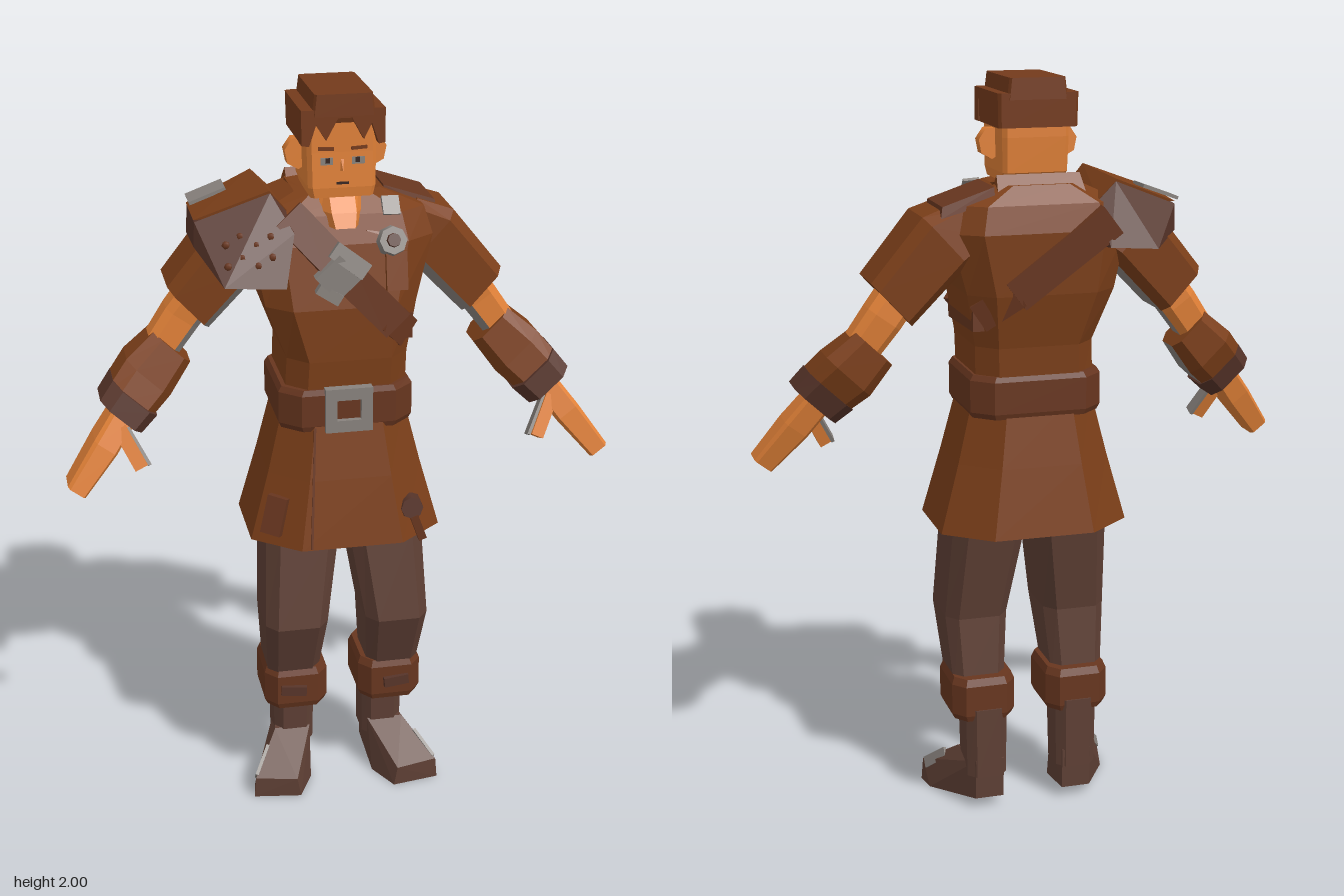
import * as THREE from 'three';
import { ConvexGeometry } from 'three/addons/geometries/ConvexGeometry.js';

const V = (x, y, z) => new THREE.Vector3(x, y, z);

export function createModel() {
  const root = new THREE.Group();
  const mat = (name, color) => {
    const m = new THREE.MeshStandardMaterial({ color });
    m.name = name;
    return m;
  };
  const skin = mat('skin', 0xe08037), cloth = mat('tunic cloth', 0x7c3f19), hair = mat('hair', 0x743a1b);
  const leather = mat('leather', 0x68361f), dark = mat('dark leather', 0x573429), trouser = mat('trouser cloth', 0x5f4035);
  const metal = mat('grey metal', 0x88827d), ink = mat('ink', 0x35241f);

  const add = (name, geo, material) => {
    const m = new THREE.Mesh(geo, material);
    m.name = name;
    root.add(m);
    return m;
  };

  // Faceted loft of chamfered rectangles; station = [x, y, z, halfU, halfV], greySides = quads given the second material
  function loft(stations, axis = V(0, 1, 0), u = V(1, 0, 0), k = 0.6, greySides = []) {
    const a = axis.clone().normalize(), v = a.clone().cross(u).normalize();
    const rings = stations.map(([x, y, z, w, d]) =>
      [[1, -k], [1, k], [k, 1], [-k, 1], [-1, k], [-1, -k], [-k, -1], [k, -1]].map(([p, q]) =>
        V(x, y, z).addScaledVector(u, p * w).addScaledVector(v, q * d)));
    const pts = [], geo = new THREE.BufferGeometry();
    const tri = (...t) => t.forEach(p => pts.push(p.x, p.y, p.z));
    for (let i = 0; i < 8; i++) {
      const j = (i + 1) % 8, start = pts.length / 3;
      for (let r = 0; r + 1 < rings.length; r++) {
        const A = rings[r], B = rings[r + 1];
        tri(A[i], A[j], B[j]);
        tri(A[i], B[j], B[i]);
      }
      geo.addGroup(start, pts.length / 3 - start, greySides.includes(i) ? 1 : 0);
    }
    const start = pts.length / 3, first = rings[0], last = rings[rings.length - 1];
    for (let i = 1; i < 7; i++) {
      tri(first[0], first[i + 1], first[i]);
      tri(last[0], last[i], last[i + 1]);
    }
    geo.addGroup(start, pts.length / 3 - start, 0);
    geo.setAttribute('position', new THREE.Float32BufferAttribute(pts, 3));
    geo.computeVertexNormals();
    return geo;
  }
  const hull = pts => new ConvexGeometry(pts.map(p => V(...p)));
  const shape = pts => new THREE.Shape(pts.map(p => new THREE.Vector2(...p)));
  const box = (name, m, x, y, z, w, h, d, rz = 0) => {
    const b = add(name, new THREE.BoxGeometry(w, h, d), m);
    b.position.set(x, y, z);
    b.rotation.z = rz;
    return b;
  };
  // Flat bar from a to b whose broad face looks along n
  function bar(name, m, a, b, width, thick, n) {
    const A = V(...a), B = V(...b), y = B.clone().sub(A), len = y.length();
    y.normalize();
    const x = y.clone().cross(V(...n)).normalize(), z = x.clone().cross(y);
    const mesh = add(name, new THREE.BoxGeometry(width, len, thick), m);
    mesh.quaternion.setFromRotationMatrix(new THREE.Matrix4().makeBasis(x, y, z));
    mesh.position.copy(A.add(B).multiplyScalar(0.5));
    return mesh;
  }

  // Tunic and belt
  add('tunicBody', loft([[0.005, 1.18, 0, 0.16, 0.15], [0.01, 1.32, 0, 0.158, 0.16], [-0.003, 1.46, -0.015, 0.197, 0.175],
    [0.005, 1.62, -0.035, 0.235, 0.165], [0.005, 1.69, -0.04, 0.215, 0.145], [0, 1.735, -0.045, 0.11, 0.1]],
  undefined, undefined, 0.68), cloth);
  add('tunicSkirt', loft([[0.005, 0.815, 0.01, 0.256, 0.21], [0.005, 1.0, 0.008, 0.205, 0.182], [0.005, 1.17, 0.005, 0.163, 0.155]],
    undefined, undefined, 0.53), cloth);
  bar('skirtOverlap', leather, [-0.105, 0.82, 0.221], [-0.085, 1.14, 0.163], 0.006, 0.008, [0, 0.2, 1]);
  add('belt', loft([[0.005, 1.13, 0.003, 0.17, 0.157], [0.005, 1.145, 0.003, 0.177, 0.162],
    [0.005, 1.23, 0.003, 0.177, 0.162], [0.005, 1.245, 0.003, 0.168, 0.157]], undefined, undefined, 0.7), leather);
  const frame = shape([[-0.062, -0.06], [0.062, -0.06], [0.062, 0.06], [-0.062, 0.06]]);
  frame.holes.push(shape([[-0.032, -0.028], [-0.032, 0.028], [0.032, 0.028], [0.032, -0.028]]));
  add('beltBuckle', new THREE.ExtrudeGeometry(frame, { depth: 0.035, bevelEnabled: false }), metal).position.set(0.003, 1.19, 0.145);
  // Hem ornaments
  const disc = (name, m, x, y, z, r, h, tilt) => {
    const d = add(name, new THREE.CylinderGeometry(r * 0.85, r, h, 8), m);
    d.position.set(x, y, z);
    d.rotation.x = Math.PI / 2 - tilt;
  };
  disc('hemDisc', dark, 0.17, 0.9, 0.178, 0.035, 0.04, 0.15);
  bar('hemTassel', leather, [0.175, 0.88, 0.192], [0.2, 0.81, 0.192], 0.022, 0.02, [0, 0, 1]);
  bar('hemPouch', leather, [-0.18, 0.95, 0.155], [-0.205, 0.85, 0.168], 0.055, 0.025, [-0.6, 0.2, 1]);

  // Strap running round the chest, with clasp and badge
  bar('strapFrontTop', leather, [-0.14, 1.7, 0.105], [-0.02, 1.57, 0.152], 0.085, 0.03, [0, 0.3, 1]);
  bar('strapFront', leather, [-0.03, 1.58, 0.15], [0.13, 1.41, 0.162], 0.085, 0.03, [0, 0.1, 1]);
  bar('strapFrontEnd', leather, [0.105, 1.435, 0.155], [0.16, 1.375, 0.12], 0.08, 0.035, [0.5, 0, 1]);
  bar('strapSide', leather, [0.166, 1.39, 0.12], [0.166, 1.4, -0.14], 0.07, 0.03, [1, 0, 0]);
  bar('strapBackEnd', leather, [0.165, 1.4, -0.14], [0.07, 1.47, -0.182], 0.075, 0.03, [0.3, 0, -1]);
  bar('strapBack', leather, [0.08, 1.46, -0.181], [-0.17, 1.65, -0.203], 0.085, 0.035, [0, 0, -1]);
  box('claspPlate', metal, -0.025, 1.55, 0.168, 0.085, 0.085, 0.03, 0.75);
  bar('claspBar', metal, [-0.035, 1.62, 0.158], [0.045, 1.56, 0.175], 0.045, 0.035, [0, 0.2, 1]);
  bar('claspTip', metal, [-0.075, 1.525, 0.165], [-0.02, 1.49, 0.172], 0.03, 0.03, [0, 0, 1]);
  disc('badge', metal, 0.12, 1.625, 0.135, 0.042, 0.04, 0.35);
  disc('badgeCentre', dark, 0.12, 1.632, 0.153, 0.02, 0.02, 0.35);
  box('chestTab', cloth, 0.13, 1.55, 0.146, 0.055, 0.1, 0.02).rotation.x = -0.2;
  // Left shoulder patch and collar
  add('shoulderPatch', hull([[0.125, 1.735, 0.01], [0.26, 1.69, 0.01], [0.26, 1.69, -0.15], [0.125, 1.735, -0.15],
    [0.125, 1.7, 0.015], [0.265, 1.66, 0.015], [0.265, 1.66, -0.155], [0.125, 1.7, -0.155]]), leather);
  add('collarBack', hull([[-0.12, 1.68, -0.18], [0.12, 1.68, -0.18], [-0.11, 1.76, -0.115], [0.11, 1.76, -0.115],
    [-0.11, 1.7, -0.05], [0.11, 1.7, -0.05]]), cloth);
  for (const s of [-1, 1]) add('collarSide', hull([[s * 0.06, 1.745, -0.1], [s * 0.115, 1.74, -0.1], [s * 0.066, 1.73, 0.06],
    [s * 0.1, 1.72, 0.07], [s * 0.058, 1.65, 0.12], [s * 0.09, 1.64, 0.125], [s * 0.12, 1.68, -0.05]]), cloth);
  bar('shoulderWornPatch', metal, [0.125, 1.725, 0.078], [0.125, 1.685, 0.108], 0.045, 0.009, [0.1, 0.6, 1]);

  // Pauldron on the right shoulder
  const top = [[-0.37, 1.68, 0.06], [-0.18, 1.75, 0.08], [-0.13, 1.69, 0.08], [-0.365, 1.67, -0.13], [-0.19, 1.74, -0.17], [-0.14, 1.69, -0.17]];
  add('pauldron', hull([...top, [-0.315, 1.545, 0.19], [-0.16, 1.535, 0.195], [-0.13, 1.66, 0.14], [-0.375, 1.62, 0.07],
    [-0.37, 1.6, -0.12], [-0.29, 1.57, -0.22], [-0.16, 1.58, -0.225]]), dark);
  add('pauldronTop', hull(top.map(([x, y, z]) => [x - 0.002, y + 0.006, z])), cloth);
  bar('pauldronPatch', metal, [-0.365, 1.688, -0.115], [-0.27, 1.723, -0.115], 0.08, 0.009, [-0.35, 1, 0]);
  for (let i = 0; i < 8; i++) {
    const x = -0.3 + (i % 4) * 0.037, y = 1.59 + Math.floor(i / 4) * 0.045 + (i % 2) * 0.018;
    add('pauldronStud', new THREE.SphereGeometry(0.011, 6, 4), leather).position.set(x, y, 0.197 - (y - 1.54) * (0.535 - (0.17 + x) * 1.9));
  }

  // Neck, head and face
  add('neck', loft([[0, 1.665, 0.05, 0.042, 0.09], [0, 1.7, 0.03, 0.053, 0.092], [0, 1.77, 0, 0.055, 0.065]]), skin);
  add('head', loft([[0, 1.735, 0.015, 0.08, 0.082], [0, 1.76, 0.002, 0.086, 0.098], [0, 1.85, -0.003, 0.088, 0.1],
    [0, 1.95, -0.003, 0.088, 0.1]], undefined, undefined, 0.88), skin);
  add('nose', hull([[-0.005, 1.84, 0.095], [0.005, 1.84, 0.095], [-0.01, 1.802, 0.093], [0.01, 1.802, 0.093], [0, 1.804, 0.107]]), skin);
  box('mouth', ink, 0, 1.772, 0.098, 0.032, 0.006, 0.008);
  for (const s of [-1, 1]) {
    box('eye', metal, s * 0.04, 1.828, 0.096, 0.032, 0.018, 0.008);
    box('pupil', ink, s * 0.038, 1.83, 0.098, 0.012, 0.013, 0.008);
    box('eyebrow', hair, s * 0.042, 1.86, 0.097, 0.04, 0.008, 0.009, s * 0.06);
    const ear = add('ear', new THREE.CylinderGeometry(0.036, 0.036, 0.036, 7), skin);
    ear.position.set(s * 0.096, 1.83, -0.005);
    ear.rotation.x = Math.PI / 2;
    ear.scale.z = 1.15;
  }
  // Hair cap, crown and jagged fringe
  add('hairCap', loft([[-0.002, 1.875, -0.015, 0.104, 0.097], [-0.002, 1.962, -0.003, 0.106, 0.112]],
    undefined, undefined, 0.93), hair);
  add('hairCrown', loft([[0, 1.945, 0.002, 0.08, 0.118], [0, 2.0, 0.002, 0.073, 0.117]], undefined, undefined, 0.93), hair);
  const fringe = shape([[-0.107, 1.962], [-0.107, 1.875], [-0.088, 1.872], [-0.07, 1.925], [-0.045, 1.885], [-0.015, 1.94],
    [0.02, 1.94], [0.05, 1.885], [0.07, 1.925], [0.088, 1.872], [0.104, 1.875], [0.104, 1.962]]);
  add('hairFringe', new THREE.ExtrudeGeometry(fringe, { depth: 0.04, bevelEnabled: false }), hair).position.z = 0.078;

  for (const s of [-1, 1]) {
    // Arm: sleeve, upper arm, bracer, hand and thumb, with worn grey undersides
    const side = s > 0 ? 'left' : 'right', under = s > 0 ? [7] : [0, 1];
    const arm = (name, mats, stations, grey = [], k = 0.6) => {
      const st = stations.map(([x, ...r]) => [x * s, ...r]), a = st[0], b = st[st.length - 1];
      const dx = b[0] - a[0], dy = b[1] - a[1], l = Math.hypot(dx, dy);
      add(side + name, loft(st, V(dx, dy, 0), V(s * dy / l, -s * dx / l, 0), k, grey), mats);
    };
    arm('Sleeve', [cloth, metal], [[0.165, 1.645, -0.05, 0.07, 0.1], [0.25, 1.6, -0.055, 0.086, 0.114], [0.388, 1.444, -0.05, 0.077, 0.105]], under, 0.7);
    arm('UpperArm', [skin, metal], [[0.34, 1.48, -0.05, 0.05, 0.055], [0.4, 1.4, -0.055, 0.05, 0.052], [0.48, 1.29, -0.045, 0.045, 0.045]], under);
    arm('Bracer', [cloth, metal], [[0.428, 1.325, -0.052, 0.064, 0.06], [0.495, 1.255, -0.035, 0.077, 0.075], [0.56, 1.19, 0.005, 0.07, 0.072]], s > 0 ? [] : [0]);
    arm('BracerRim', dark, [[0.535, 1.212, -0.005, 0.076, 0.078], [0.575, 1.17, 0.015, 0.071, 0.074]]);
    arm('Hand', skin, [[0.555, 1.185, 0.015, 0.035, 0.045], [0.62, 1.1, 0.05, 0.036, 0.052], [0.703, 0.996, 0.09, 0.028, 0.045]], [], 0.75);
    bar(side + 'Thumb', skin, [s * 0.58, 1.14, 0.06], [s * 0.53, 1.04, 0.1], 0.036, 0.036, [0, 0, 1]);
    bar(side + 'ThumbInnerPatch', metal, [s * 0.56, 1.14, 0.06], [s * 0.51, 1.045, 0.098], 0.032, 0.009, [-s, 0, 0]);

    // Leg, boot cuff and boot turned outwards
    const leg = new THREE.Group();
    leg.name = side + 'LegAndBoot';
    leg.position.x = 0.008;
    root.add(leg);
    leg.add(
      add('leg', loft([[s * 0.11, 0.9, 0, 0.1, 0.115], [s * 0.114, 0.8, 0.01, 0.1, 0.115],
        [s * 0.139, 0.55, 0.055, 0.086, 0.11], [s * 0.14, 0.35, 0.005, 0.07, 0.08]].reverse(), undefined, undefined, 0.66), trouser),
      add('bootCuff', loft([[s * 0.133, 0.268, 0, 0.08, 0.1], [s * 0.133, 0.285, 0, 0.088, 0.106],
        [s * 0.133, 0.37, 0, 0.088, 0.106], [s * 0.133, 0.39, 0, 0.08, 0.098]], undefined, undefined, 0.65), leather),
      bar('cuffToggle', dark, [s * 0.11, 0.325, 0.105], [s * 0.18, 0.33, 0.1], 0.028, 0.03, [0, 0, 1]),
      add('bootShaft', loft([[s * 0.128, 0.1, -0.045, 0.055, 0.062], [s * 0.128, 0.3, -0.04, 0.058, 0.07]]), trouser),
      add('bootFoot', hull([[0.085, 0.035, -0.1], [0.165, 0.035, -0.1], [0.085, 0.15, -0.105], [0.165, 0.15, -0.105],
        [0.085, 0.15, 0.015], [0.185, 0.15, 0.015], [0.09, 0.005, 0.06], [0.255, 0.005, 0.07], [0.135, 0.005, 0.15],
        [0.265, 0.005, 0.13], [0.145, 0.06, 0.15], [0.26, 0.065, 0.13]].map(([x, y, z]) => [x * s, y, z])), trouser),
      bar('bootPatch', metal, [s * 0.213, 0.114, 0.049], [s * 0.256, 0.06, 0.113], 0.032, 0.009, [s * 0.85, 0.28, -0.35]));
  }
  return root;
}
